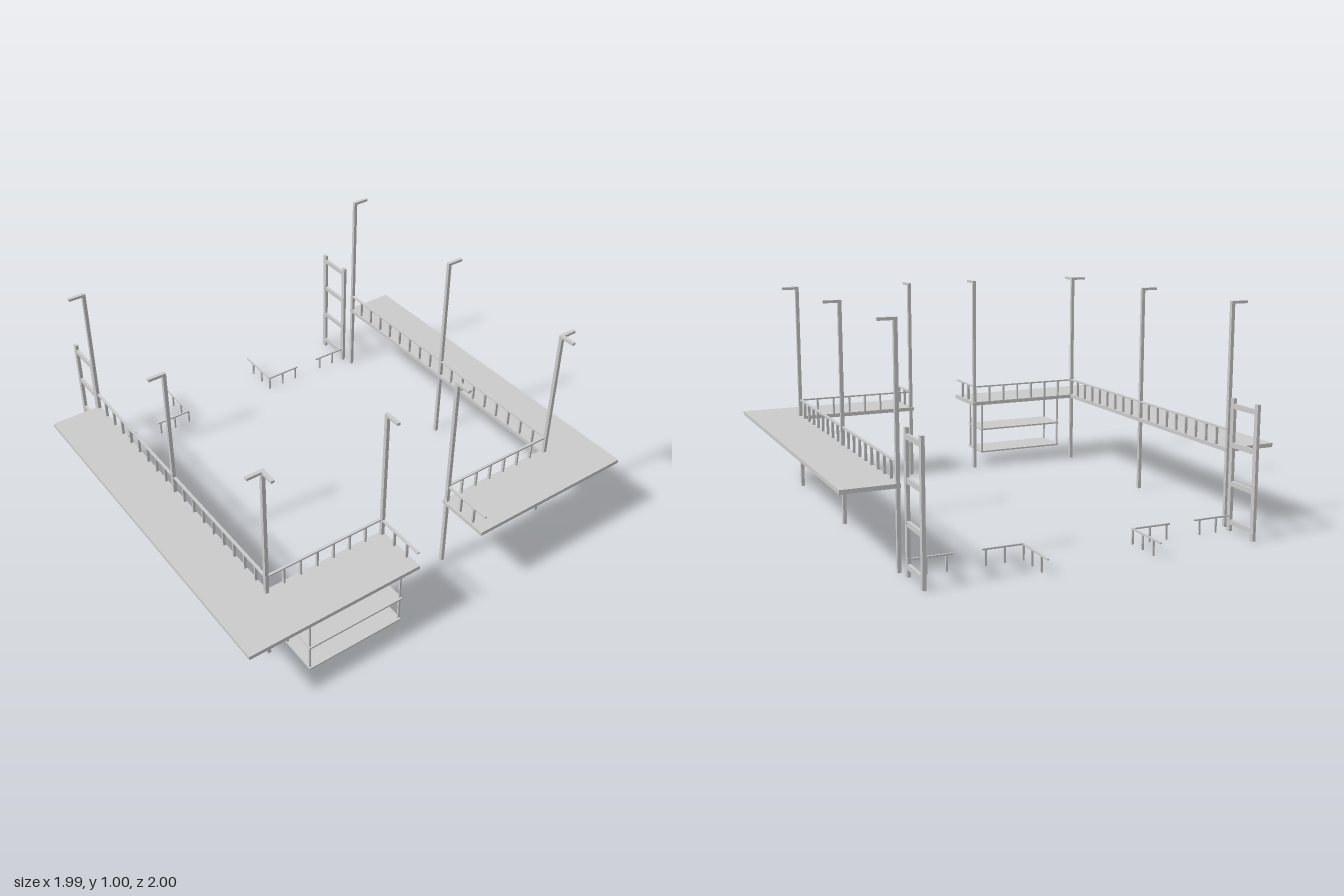
import * as THREE from 'three';

const material = new THREE.MeshStandardMaterial({ color: 0xcccccc, flatShading: true });

// Box given by its min and max corners
function box(parent, name, [x0, y0, z0], [x1, y1, z1]) {
  const mesh = new THREE.Mesh(new THREE.BoxGeometry(x1 - x0, y1 - y0, z1 - z0), material);
  mesh.position.set((x0 + x1) / 2, (y0 + y1) / 2, (z0 + z1) / 2);
  mesh.name = name;
  parent.add(mesh);
}

function group(parent, name) {
  const g = new THREE.Group();
  g.name = name;
  parent.add(g);
  return g;
}

// Rail along x or z at a fixed cross position, with uprights at the given stations
function railing(parent, name, axis, fixed, from, to, base, top, depth, stations) {
  const g = group(parent, name);
  const place = (part, a, b, y0, y1) => {
    const lo = fixed - depth / 2, hi = fixed + depth / 2;
    if (axis === 'x') box(g, part, [a, y0, lo], [b, y1, hi]);
    else box(g, part, [lo, y0, a], [hi, y1, b]);
  };
  place('rail', from, to, top - 0.007, top);
  stations.forEach((s) => place('baluster', s - 0.004, s + 0.004, base, top - 0.007));
}

const range = (start, step, count) => Array.from({ length: count }, (_, i) => start + i * step);

// One half of the layout; side is +1 (left) or -1 (right)
function buildSide(side) {
  const g = new THREE.Group();
  g.name = side > 0 ? 'leftSide' : 'rightSide';
  const X = (a, b) => (side > 0 ? [a, b] : [-b, -a]);
  const part = (parent, name, a, b, y0, y1, z0, z1) => {
    const [x0, x1] = X(a, b);
    box(parent, name, [x0, y0, z0], [x1, y1, z1]);
  };

  // L-shaped walkway deck
  const outline = [[0.997, -0.725], [0.997, 0.997], [0.167, 0.997], [0.167, 0.743], [0.752, 0.743], [0.752, -0.725]];
  const shape = new THREE.Shape(outline.map(([x, z]) => new THREE.Vector2(side * x, -z)));
  const deckGeometry = new THREE.ExtrudeGeometry(shape, { depth: 0.018, bevelEnabled: false });
  deckGeometry.rotateX(-Math.PI / 2);
  const deck = new THREE.Mesh(deckGeometry, material);
  deck.position.y = 0.341;
  deck.name = 'deck';
  g.add(deck);

  // Tall posts with short arms: outward (x), forward (z) or both
  const posts = [
    { x: 0.762, z: -0.717, out: true },
    { x: 0.762, z: 0.02, out: true },
    { x: 0.762, z: 0.757, out: true, forward: true },
    { x: 0.18, z: 0.757, forward: true },
  ];
  posts.forEach(({ x, z, out, forward }) => {
    const post = group(g, 'post');
    const r = 0.008;
    part(post, 'shaft', x - r, x + r, 0, 1, z - r, z + r);
    if (out) part(post, 'outwardArm', x - r, 0.835, 0.99, 1.002, z - r, z + r);
    if (forward) part(post, 'forwardArm', x - r, x + r, 0.99, 1.002, z - r, 0.828);
  });

  // Guard rails on the inner edges and at the gap
  const deckTop = 0.359, railTop = 0.444, step = 0.082;
  const [rx0, rx1] = X(0.18, 0.762);
  railing(g, 'sideRailing', 'z', side * 0.76, -0.717, 0.757, deckTop, railTop, 0.012,
    range(-0.635, step, 17));
  railing(g, 'frontRailing', 'x', 0.752, rx0, rx1, deckTop, railTop, 0.012,
    range(0.265, step, 6).map((x) => side * x));
  railing(g, 'endRailing', 'z', side * 0.182, 0.757, 0.998, deckTop, railTop, 0.012, [0.843, 0.925]);

  // Ladder behind the walkway
  const ladder = group(g, 'ladder');
  [-0.776, -0.944].forEach((z) => part(ladder, 'stile', 0.737, 0.752, 0, 0.59, z - 0.011, z + 0.011));
  [0.042, 0.214, 0.385, 0.556].forEach((y) =>
    part(ladder, 'rung', 0.738, 0.751, y - 0.011, y + 0.011, -0.944, -0.776));

  // Low rails at the back, with a gap and a corner
  const low = (name, a, b, xs) => {
    const [x0, x1] = X(a, b);
    railing(g, name, 'x', -0.777, x0, x1, 0, 0.072, 0.008, xs.map((x) => side * x));
  };
  low('outerLowRail', 0.56, 0.745, [0.587, 0.671]);
  low('innerLowRail', 0.25, 0.436, [0.254, 0.337, 0.42]);
  railing(g, 'returnLowRail', 'z', side * 0.254, -1, -0.777, 0, 0.072, 0.008, [-0.858, -0.942]);
  return g;
}

export function createModel() {
  const model = new THREE.Group();
  model.name = 'walkways';
  model.add(buildSide(1), buildSide(-1));

  // Hanging shelves beneath the right front deck
  const shelves = group(model, 'hangingShelves');
  [0.07, 0.194].forEach((y) => box(shelves, 'shelf', [-0.707, y - 0.004, 0.802], [-0.238, y + 0.004, 0.982]));
  [-0.7, -0.245].forEach((x) => [0.808, 0.97].forEach((z) =>
    box(shelves, 'hanger', [x - 0.004, 0.07, z - 0.004], [x + 0.004, 0.341, z + 0.004])));
  return model;
}
